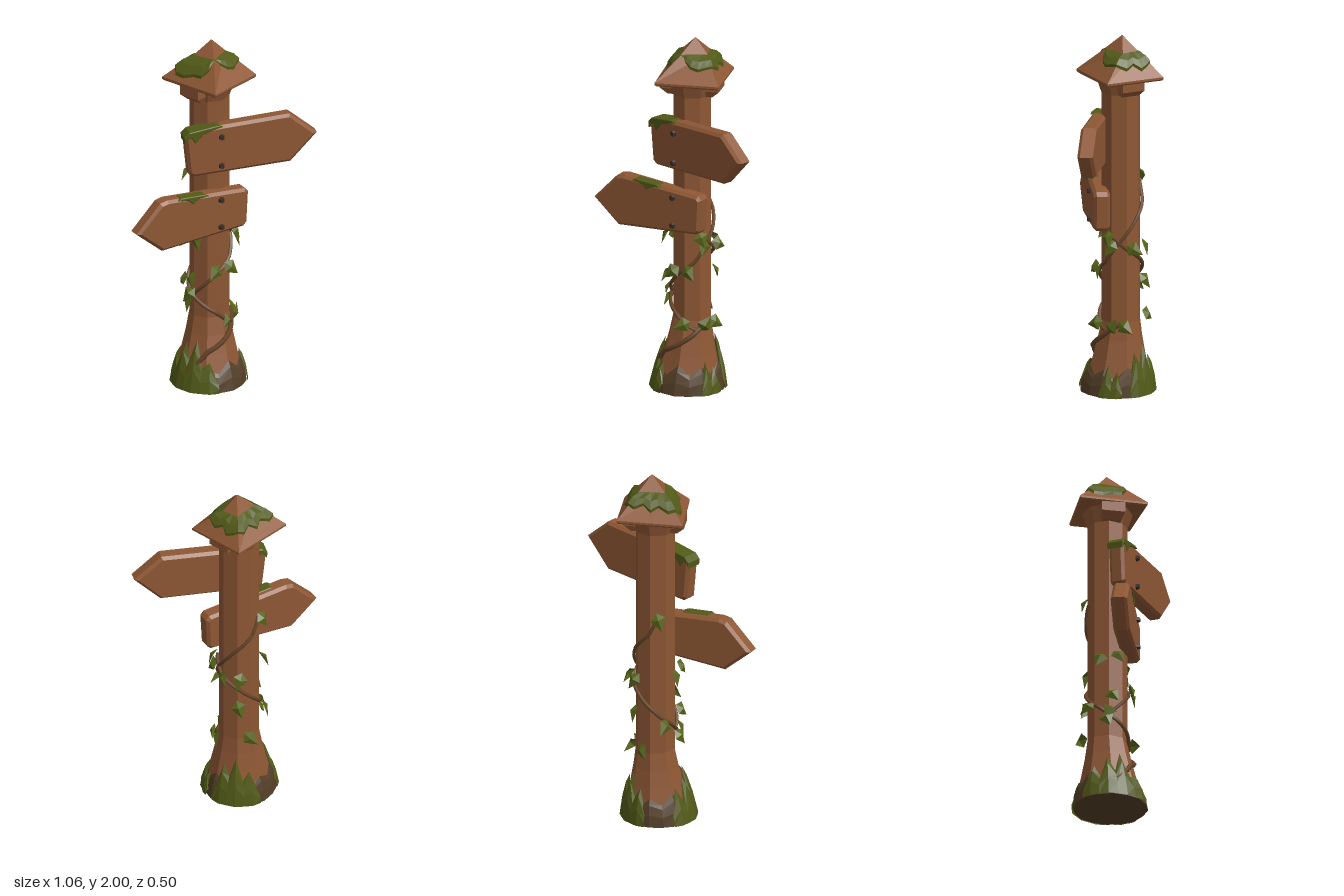
import * as THREE from 'three';

const mat = (name, color, side = THREE.FrontSide) => {
  const m = new THREE.MeshStandardMaterial({ color, side });
  m.name = name;
  return m;
};
const V = (x, y, z) => new THREE.Vector3(x, y, z);
const rad = THREE.MathUtils.degToRad;

// Flat-shaded skin over rings of points, listed from bottom to top
function loft(rings, { closed = true, bottom = false, top = false, peak = null } = {}) {
  const p = [], n = rings[0].length;
  const tri = (...v) => v.forEach(q => p.push(q.x, q.y, q.z));
  const mid = r => r.reduce((s, q) => s.add(q), V(0, 0, 0)).divideScalar(n);
  for (let j = 0; j < rings.length - 1; j++) {
    for (let i = 0; i < (closed ? n : n - 1); i++) {
      const k = (i + 1) % n, lo = rings[j], hi = rings[j + 1];
      tri(lo[i], hi[i], lo[k]);
      tri(lo[k], hi[i], hi[k]);
    }
  }
  const last = rings[rings.length - 1];
  for (let i = 0; i < n; i++) {
    const k = (i + 1) % n;
    if (bottom) tri(mid(rings[0]), rings[0][i], rings[0][k]);
    if (top || peak) tri(peak || mid(last), last[k], last[i]);
  }
  const g = new THREE.BufferGeometry();
  g.setAttribute('position', new THREE.Float32BufferAttribute(p, 3));
  g.computeVertexNormals();
  return g;
}

// Point on the post surface at an angle (degrees, from +x towards +z) and height
function onPost(deg, y, off = 0) {
  const k = Math.max(0, 1 - y / 0.4);
  const r = 0.109 + 0.09 * Math.pow(k, 1.2) + Math.max(0, y - 1.68) * 0.35 + off;
  return V(-0.03 - 0.01 * k + r * Math.cos(rad(deg)), y, -0.01 + 0.02 * k + r * Math.sin(rad(deg)));
}

export function createModel() {
  const wood = mat('wood', 0x8e5734);
  const earth = mat('dark base wood', 0x543f27);
  const moss = mat('moss', 0x525a17, THREE.DoubleSide);
  const leafGreen = mat('leaf green', 0x566319, THREE.DoubleSide);
  const vineBrown = mat('vine brown', 0x684428);
  const iron = mat('dark nail', 0x3b2e25);

  const model = new THREE.Group();
  const add = (name, geo, material, parent = model) => {
    const m = new THREE.Mesh(geo, material);
    m.name = name;
    parent.add(m);
    return m;
  };

  // Eight-sided post, flaring at the foot and under the roof
  const ys = [0.02, 0.06, 0.12, 0.2, 0.3, 0.4, 0.8, 1.2, 1.68, 1.77];
  add('post', loft(ys.map(y => Array.from({ length: 8 }, (_, i) => onPost(22.5 + i * 45, y))),
    { bottom: true, top: true }), wood);

  // Jagged skirts hugging the foot of the post
  const skirt = (a0, a1, heights, off, closed = false) => {
    const n = heights.length;
    const ring = (f, o) => heights.map((h, i) =>
      onPost(a0 + (a1 - a0) * i / (closed ? n : n - 1), h * f, o + (i % 2) * 0.005));
    return loft([ring(0, off - 0.008), ring(0.45, off), ring(0.8, off * 0.8), ring(1, 0)],
      { closed, bottom: closed });
  };
  add('base', skirt(0, 360, [0.1, 0.15, 0.11, 0.16, 0.1, 0.12, 0.09, 0.16, 0.11,
    0.17, 0.12, 0.15, 0.1, 0.17, 0.12, 0.16], 0.01, true), earth);
  [
    [92, 208, [0.06, 0.16, 0.13, 0.28, 0.16, 0.25, 0.12, 0.2, 0.07]],
    [-105, -25, [0.07, 0.2, 0.14, 0.28, 0.17, 0.24, 0.06]],
    [-12, 24, [0.04, 0.14, 0.09, 0.18, 0.05]],
  ].forEach(([a, b, h]) => add('baseMoss', skirt(a, b, h, 0.018), moss));

  // Roof: skewed square pyramid with a small cap
  const eave = [V(0.22, 0, 0.04), V(-0.075, 0, 0.235), V(-0.275, 0, -0.085), V(0.05, 0, -0.25)];
  const capEdge = [V(0.068, 0, -0.03), V(-0.03, 0, 0.077), V(-0.112, 0, -0.03), V(0.01, 0, -0.107)];
  const at = (ring, y, s = 1) => ring.map(q =>
    V(-0.02 + (q.x + 0.02) * s, y, -0.015 + (q.z + 0.015) * s));
  const roofLow = at(eave, 1.785), roofHigh = at(capEdge, 1.92, 0.95);
  add('roof', loft([at(eave, 1.765, 0.96), at(eave, 1.773), roofLow, roofHigh], { bottom: true, top: true }), wood);
  add('roofCap', loft([at(capEdge, 1.908, 0.9), at(capEdge, 1.918)],
    { bottom: true, peak: V(-0.015, 2, -0.02) }), wood);

  // Moss ring draped below the cap, with an uneven lower edge, bare on the front corner
  const reach = [0.45, 0.5, 0.58, 0.5, 0.3, 0.1, 0.04, 0.4, 0.68, 0.7, 0.84, 0.82,
    0.6, 0.68, 0.5, 0.68, 0.45, 0.6, 0.48, 0.6, 0.72, 0.5, 0.66, 0.55];
  const drape = (f, lift) => reach.map((s, i) => {
    const k = Math.floor(i / 6), t = (i % 6) / 6, n = (k + 1) % 4;
    const hi = roofHigh[k].clone().lerp(roofHigh[n], t);
    const p = hi.lerp(roofLow[k].clone().lerp(roofLow[n], t), s * f);
    const rise = lift * Math.min(1, s * 2.5);
    const out = V(p.x + 0.02, 0, p.z + 0.015).normalize().multiplyScalar(rise);
    return p.add(out).add(V(0, rise, 0));
  });
  add('roofMoss', loft([drape(1, 0.001), drape(0.9, 0.01), drape(0.5, 0.012), drape(0, 0)]), moss);

  // Two tapered brackets under the eaves
  const rect = (y, z, w) => [V(w, y, 0.03), V(w, y, z), V(-w, y, z), V(-w, y, 0.03)];
  const bracketGeo = loft([rect(1.68, 0.125, 0.05), rect(1.715, 0.165, 0.065), rect(1.775, 0.165, 0.065)],
    { bottom: true, top: true });
  [-30, 150].forEach(deg => {
    const b = add('bracket', bracketGeo, wood);
    b.position.set(-0.03, 0, -0.01);
    b.rotation.y = Math.PI / 2 - rad(deg);
  });

  // Arrow boards with bevelled edges, moss and nails
  const slab = (pts, depth, b) => {
    const g = new THREE.ExtrudeGeometry(new THREE.Shape(pts.map(q => new THREE.Vector2(...q))), {
      depth: depth - 2 * b, bevelThickness: b, bevelSize: b, bevelOffset: -b, bevelSegments: 1,
    });
    return g.translate(0, 0, b - depth / 2);
  };
  const nailGeo = new THREE.CylinderGeometry(0.014, 0.02, 0.022, 6).toNonIndexed().rotateX(Math.PI / 2);
  nailGeo.computeVertexNormals();
  const board = (name, turn, z, depth, pts, nails) => {
    const g = new THREE.Group();
    g.name = name;
    g.position.z = z;
    g.rotation.y = turn;
    model.add(g);
    add(name + 'Plank', slab(pts, depth, 0.016), wood, g);
    nails.forEach(([x, y]) => add('nail', nailGeo, iron, g).position.set(x, y, depth / 2 + 0.006));
    return g;
  };
  const upper = board('upperSign', -0.06, 0.107, 0.085,
    [[-0.19, 1.285], [-0.165, 1.267], [0.38, 1.3], [0.527, 1.455], [0.375, 1.582], [-0.03, 1.553],
      [-0.185, 1.528], [-0.212, 1.5]],
    [[-0.008, 1.49], [-0.008, 1.32]]);
  add('upperSignMoss', slab([[-0.213, 1.47], [-0.217, 1.505], [-0.188, 1.533], [-0.035, 1.558], [0, 1.55],
    [-0.07, 1.53], [-0.11, 1.515], [-0.155, 1.465], [-0.175, 1.5], [-0.198, 1.495]], 0.093, 0.004), moss, upper);
  const lower = board('lowerSign', 0.2, 0.105, 0.09,
    [[-0.542, 1.02], [-0.385, 0.89], [0.12, 0.93], [0.14, 0.95], [0.15, 1.13], [0.13, 1.152],
      [-0.35, 1.182], [-0.395, 1.172]],
    [[-0.025, 1.12], [-0.025, 0.96]]);
  // Small moss tuft on the front half of the lower board's top edge
  add('lowerSignMoss', slab([[-0.29, 1.168], [-0.27, 1.181], [-0.13, 1.173], [-0.1, 1.16], [-0.16, 1.155],
    [-0.2, 1.132], [-0.225, 1.158]], 0.06, 0.004), moss, lower).position.z = 0.019;

  // Vines winding both ways around the post
  const vine = (keys, radius) => {
    const pts = [];
    for (let i = 0; i < keys.length - 1; i++) {
      for (let s = 0; s < 5; s++) {
        const t = s / 5, [a, y] = keys[i], [b, w] = keys[i + 1];
        pts.push(onPost(a + (b - a) * t, y + (w - y) * t, 0.007));
      }
    }
    pts.push(onPost(...keys[keys.length - 1], 0.004));
    return new THREE.TubeGeometry(new THREE.CatmullRomCurve3(pts), 80, radius, 5);
  };
  add('rootVine', vine([[150, 0.1], [110, 0.22], [75, 0.27], [45, 0.32], [20, 0.37], [-5, 0.4]], 0.014), vineBrown);
  add('crossingVine', vine([[30, 0.35], [60, 0.38], [90, 0.43], [150, 0.51], [220, 0.62],
    [290, 0.75], [340, 0.82], [385, 0.9]], 0.011), vineBrown);
  add('upperVine', vine([[155, 0.53], [90, 0.66], [40, 0.74], [0, 0.85], [-60, 1.0], [-110, 1.1],
    [-135, 1.2]], 0.01), vineBrown);

  // Folded leaves: angle, height, tilt
  const leafGeo = new THREE.BufferGeometry();
  leafGeo.setAttribute('position', new THREE.Float32BufferAttribute([
    0, 0, 0, -0.042, -0.03, 0.016, 0, -0.034, 0.036, 0.042, -0.03, 0.016, 0, -0.1, 0.03], 3));
  leafGeo.setIndex([0, 1, 2, 0, 2, 3, 1, 4, 2, 2, 4, 3]);
  const foldedLeaf = leafGeo.toNonIndexed();
  foldedLeaf.computeVertexNormals();
  [
    [172, 0.88, -0.4], [145, 0.9, 0.5], [30, 0.92, 0.3], [10, 0.87, -0.5], [65, 0.72, 0.7], [82, 0.71, -0.8],
    [150, 0.57, -0.5], [170, 0.52, 0.4], [160, 0.66, 0.6], [25, 0.35, 2.5], [0, 0.41, 0.9], [50, 0.4, -1.2],
    [-65, 0.67, 0.4], [-80, 0.86, -0.4], [-130, 1.23, 0.3], [200, 0.6, -0.7],
    [-85, 0.45, 0.8], [-20, 0.84, 1.0],
  ].forEach(([deg, y, tilt]) => {
    const leaf = add('leaf', foldedLeaf, leafGreen);
    leaf.position.copy(onPost(deg, y, 0.008));
    leaf.rotation.set(-0.15, Math.PI / 2 - rad(deg), tilt, 'YXZ');
  });

  return model;
}
